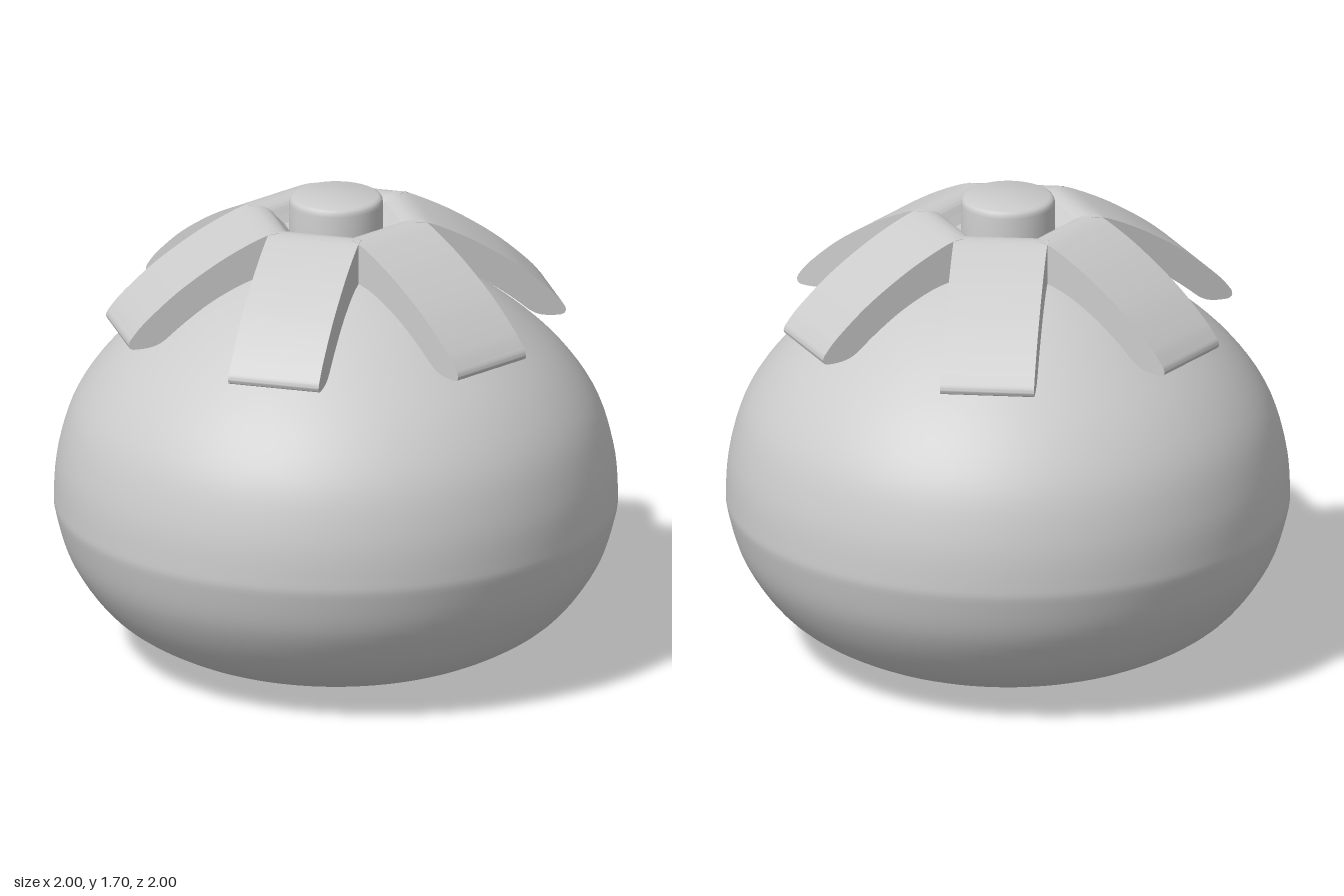
import * as THREE from 'three';
import { toCreasedNormals } from 'three/addons/utils/BufferGeometryUtils.js';

const vec = (list) => list.map(([x, y]) => new THREE.Vector2(x, y));
const LEAF_WIDTH = 0.334;

// Smooth solid of revolution through a few profile points
function lathe(points, steps, segments) {
  const curve = new THREE.SplineCurve(vec(points));
  const profile = curve.getPoints(steps);
  profile.forEach((p) => { p.x = Math.max(p.x, 0); });
  return new THREE.LatheGeometry(profile, segments);
}

// Thick curved strip: side outline extruded across its width
function leafGeometry() {
  const shape = new THREE.Shape();
  shape.moveTo(0, 1.44);
  shape.lineTo(0, 1.57);
  shape.lineTo(0.165, 1.575);
  shape.splineThru(vec([[0.19, 1.6], [0.22, 1.628], [0.27, 1.635], [0.34, 1.612],
    [0.47, 1.545], [0.62, 1.445], [0.74, 1.34], [0.79, 1.282]]));
  shape.bezierCurveTo(0.805, 1.26, 0.8, 1.243, 0.775, 1.243);
  shape.bezierCurveTo(0.72, 1.243, 0.69, 1.25, 0.66, 1.275);
  shape.splineThru(vec([[0.58, 1.34], [0.48, 1.408], [0.36, 1.465], [0.25, 1.49]]));
  const geo = new THREE.ExtrudeGeometry(shape, { depth: LEAF_WIDTH, bevelEnabled: false, curveSegments: 10 });
  geo.translate(0, 0, -LEAF_WIDTH / 2);
  return toCreasedNormals(geo, 0.7);
}

export function createModel() {
  const group = new THREE.Group();
  const material = new THREE.MeshStandardMaterial({ color: 0xcccccc });
  const add = (name, geometry, parent = group) => {
    const mesh = new THREE.Mesh(geometry, material);
    mesh.name = name;
    parent.add(mesh);
    return mesh;
  };

  // Plump fruit body with a shallow dimple underneath
  add('body', lathe([[0, 0.05], [0.1, 0.027], [0.2, 0.008], [0.32, 0.003], [0.48, 0.026],
    [0.66, 0.09], [0.82, 0.195], [0.94, 0.36], [0.993, 0.52], [1, 0.6], [0.985, 0.75],
    [0.93, 0.925], [0.82, 1.085], [0.67, 1.225], [0.5, 1.345], [0.32, 1.43],
    [0.15, 1.47], [0, 1.475]], 80, 96));

  // Six leaves radiating from the centre
  const leaves = new THREE.Group();
  leaves.name = 'leaves';
  group.add(leaves);
  const leaf = leafGeometry();
  for (let i = 0; i < 6; i++) add('leaf', leaf, leaves).rotation.y = (i * Math.PI) / 3;

  // Short stem with a softly rounded rim
  const stem = new THREE.LatheGeometry(vec([[0.167, 1.5], [0.167, 1.675], [0.165, 1.687],
    [0.16, 1.695], [0.15, 1.7], [0, 1.7]]), 48);
  add('stem', toCreasedNormals(stem, 0.6));

  return group;
}
